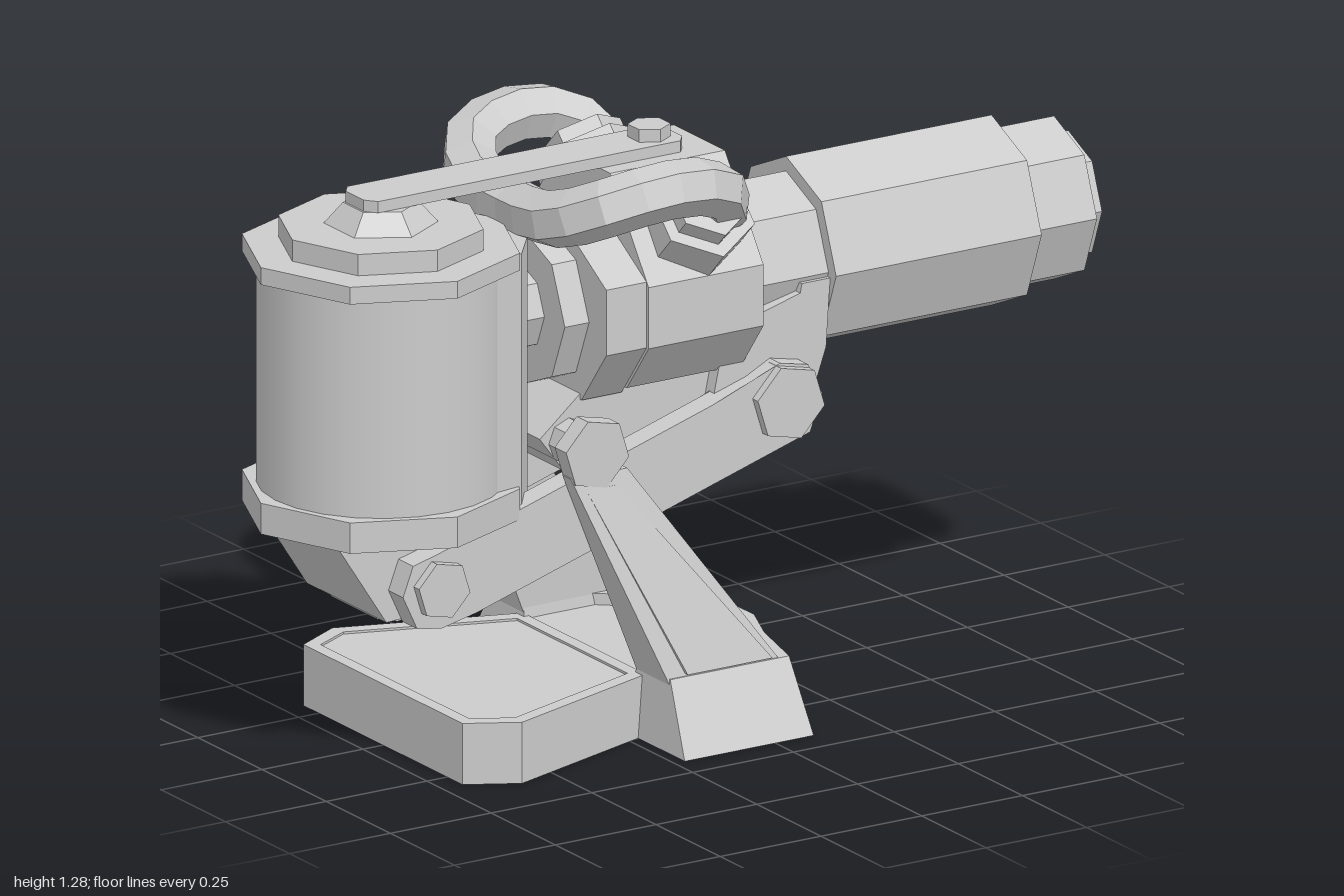
import * as THREE from 'three';

const mat = new THREE.MeshStandardMaterial({ color: 0xcccccc, flatShading: true });
const smooth = new THREE.MeshStandardMaterial({ color: 0xcccccc });
const V = (x, y, z) => new THREE.Vector3(x, y, z);

// Skin between cross-sections of equal length, with fan caps, faces turned outward
function loft(rings) {
  const tris = [];
  const n = rings[0].length;
  for (let k = 0; k < rings.length - 1; k++) {
    for (let i = 0; i < n; i++) {
      const j = (i + 1) % n, a = rings[k], b = rings[k + 1];
      tris.push([a[i], a[j], b[j]], [a[i], b[j], b[i]]);
    }
  }
  const first = rings[0], last = rings[rings.length - 1];
  for (let i = 1; i < n - 1; i++) {
    tris.push([first[0], first[i + 1], first[i]], [last[0], last[i], last[i + 1]]);
  }
  let volume = 0;
  for (const [a, b, c] of tris) volume += a.dot(b.clone().cross(c));
  const pts = tris.flatMap(([a, b, c]) => (volume < 0 ? [a, c, b] : [a, b, c]));
  const g = new THREE.BufferGeometry().setFromPoints(pts);
  g.computeVertexNormals();
  return g;
}
// Convex side profile (x, y) between two z values
const prismZ = (pts, z0, z1) => loft([z0, z1].map((z) => pts.map(([x, y]) => V(x, y, z))));
// Convex end profile (z, y) between two x values
const prismX = (pts, x0, x1) => loft([x0, x1].map((x) => pts.map(([z, y]) => V(x, y, z))));
// Rectangle on a horizontal level
const rect = (x0, x1, z0, z1, y) => [V(x0, y, z0), V(x1, y, z0), V(x1, y, z1), V(x0, y, z1)];
// Plan outline (x, z) raised from y0 by h
function plate(outline, y0, h, hole) {
  const toShape = (pts) => pts.map(([x, z]) => new THREE.Vector2(x, -z));
  const s = new THREE.Shape(toShape(outline));
  if (hole) s.holes.push(new THREE.Path(toShape(hole)));
  const g = new THREE.ExtrudeGeometry(s, { depth: h, bevelEnabled: false });
  return g.rotateX(-Math.PI / 2).translate(0, y0, 0);
}
const mirrorProfile = (half) => [...half, ...half.slice().reverse().filter(([z]) => z !== 0).map(([z, y]) => [-z, y])];

export function createModel() {
  const model = new THREE.Group();
  const add = (name, geometry, material = mat, parent = model) => {
    const m = new THREE.Mesh(geometry, material);
    m.name = name;
    parent.add(m);
    return m;
  };
  const AXIS = 0.91;

  // Barrel with hollow muzzle, turned about the x axis
  const barrelProfile = [
    [0, 0], [0.178, 0], [0.178, 0.3], [0.21, 0.3], [0.21, 0.81], [0.18, 0.81], [0.18, 0.965],
    [0.142, 0.965], [0.142, 1], [0.125, 1], [0.115, 0.75], [0, 0.73],
  ].map(([r, h]) => new THREE.Vector2(r, h));
  const barrel = add('barrel', new THREE.LatheGeometry(barrelProfile, 8).rotateZ(-Math.PI / 2));
  barrel.scale.z = 0.93;
  barrel.position.y = AXIS;

  // Breech body: tall front block, lower rear block, coupling to the drum
  add('body', prismX(mirrorProfile([[0.1, 1.2], [0.25, 0.99], [0.25, 0.855], [0.165, 0.745], [0, 0.72]]), -0.2, 0.085));
  add('bodyRear', prismX(mirrorProfile([[0.11, 1.08], [0.242, 1.0], [0.242, 0.855], [0.145, 0.73]]), -0.3, -0.2));
  for (const [r, x0, x1] of [[0.175, -0.36, -0.3], [0.095, -0.43, -0.36], [0.07, -0.5, -0.43]]) {
    add('coupling', new THREE.CylinderGeometry(r, r, x1 - x0, 8).rotateZ(-Math.PI / 2).translate((x0 + x1) / 2, AXIS, 0));
  }

  // Neck from the body down to the pivot, and open bracket under the barrel
  add('neck', prismZ([[-0.4, 0.66], [-0.34, 0.58], [-0.24, 0.58], [0.02, 0.65], [0.1, 0.76], [-0.28, 0.76]], -0.14, 0.14));
  for (const s of [-1, 1]) {
    add('bracketSide', prismZ([[0.08, 0.84], [0.3, 0.9], [0.29, 0.75], [0.23, 0.58], [0.02, 0.62]], s * 0.12, s * 0.172));
  }
  add('bracketFront', prismZ([[0.23, 0.9], [0.3, 0.9], [0.29, 0.75], [0.23, 0.58], [0.17, 0.6]], -0.172, 0.172));
  add('bracketRear', prismZ([[0.0, 0.64], [0.08, 0.62], [0.11, 0.8], [0.03, 0.78]], -0.172, 0.172));

  // Drum with flanges, cap and knob: [bottom radius, top radius, y0, y1, sides]
  const DX = -0.705;
  const drum = new THREE.Group();
  drum.name = 'drum';
  model.add(drum);
  for (const [name, rb, rt, y0, y1, n] of [
    ['lowerFlange', 0.298, 0.298, 0.52, 0.588, 8], ['upperFlange', 0.298, 0.298, 1.07, 1.108, 8],
    ['drumCap', 0.22, 0.22, 1.108, 1.155, 8], ['capKnob', 0.12, 0.08, 1.155, 1.2, 6],
  ]) {
    add(name, new THREE.CylinderGeometry(rt, rb, y1 - y0, n).translate(DX, (y0 + y1) / 2, 0), mat, drum);
  }
  add('drumShell', new THREE.CylinderGeometry(0.262, 0.262, 0.5, 24).translate(DX, 0.83, 0), smooth, drum);
  add('drumSpine', loft([0.525, 1.1].map((y) => [V(-0.57, y, -0.21), V(-0.48, y, -0.195), V(-0.412, y, -0.11),
    V(-0.412, y, 0.11), V(-0.48, y, 0.195), V(-0.57, y, 0.21)])), mat, drum);
  add('drumCradle', prismZ([[-0.92, 0.53], [-0.79, 0.33], [-0.6, 0.34], [-0.55, 0.36], [-0.55, 0.53]], -0.155, 0.155), mat, drum);
  add('cradleKeel', prismZ([[-0.8, 0.35], [-0.77, 0.315], [-0.72, 0.302], [-0.6, 0.33], [-0.58, 0.35]], -0.09, 0.09), mat, drum);

  // Strap across the top with its bolt
  add('strap', plate([[-0.75, -0.06], [0, -0.06], [0.02, -0.035], [0.02, 0.035], [0, 0.06], [-0.75, 0.06],
    [-0.77, 0.035], [-0.77, -0.035]], 1.2, 0.025));
  add('strapBolt', new THREE.CylinderGeometry(0.045, 0.045, 0.03, 6).translate(-0.04, 1.238, 0));

  // Hose looping from one port, behind the body, to the other
  const half = [V(-0.06, 1.05, 0.14), V(-0.005, 1.125, 0.225), V(-0.06, 1.195, 0.285), V(-0.19, 1.217, 0.302),
    V(-0.315, 1.19, 0.265), V(-0.367, 1.145, 0.16)];
  const path = [...half, V(-0.367, 1.13, 0), ...half.slice().reverse().map((p) => V(p.x, p.y, -p.z))];
  add('hose', new THREE.TubeGeometry(new THREE.CatmullRomCurve3(path), 22, 0.062, 6));

  // Paired parts
  for (const s of [1, -1]) {
    // Port collars on the sloping shoulders
    for (const [r, h, d] of [[0.12, 0.1, 0.01], [0.09, 0.06, 0.07]]) {
      const collar = add('portCollar', new THREE.CylinderGeometry(r, r, h, 6));
      collar.rotation.x = (s * Math.PI) / 4;
      collar.position.set(-0.05, 1.09 + d * 0.7, s * (0.18 + d * 0.7));
    }

    // Link arm with a bolt at each end
    add('linkArm', prismZ([[-0.785, 0.4], [-0.75, 0.325], [-0.69, 0.315], [-0.6, 0.335], [0.225, 0.585],
      [0.255, 0.665], [0.22, 0.735], [0.15, 0.75], [0.09, 0.72], [-0.7, 0.48], [-0.76, 0.465]], s * 0.155, s * 0.212));
    for (const [x, y, r] of [[-0.695, 0.405, 0.065], [0.165, 0.665, 0.085]]) {
      add('armBolt', new THREE.CylinderGeometry(r, r, 0.05, 6).rotateX(Math.PI / 2).rotateZ(0.3).translate(x, y, s * 0.208));
    }

    // Leg, pivot cap and flared foot, hollow beneath
    const side = (x0, x1, z0, z1, y) => rect(x0, x1, s * z0, s * z1, y);
    add('leg', loft([side(-0.21, 0.07, 0.22, 0.35, 0.14), side(-0.39, -0.25, 0.212, 0.245, 0.6)]));
    add('legPanel', loft([side(-0.17, 0.04, 0.3, 0.356, 0.16), side(-0.355, -0.28, 0.23, 0.252, 0.57)]));
    add('pivotCap', new THREE.CylinderGeometry(0.08, 0.08, 0.045, 6).rotateX(Math.PI / 2).rotateZ(0.3).translate(-0.328, 0.645, s * 0.23));
    add('foot', loft([side(-0.2, 0.07, 0.23, 0.34, 0.135), side(-0.21, 0.08, 0.22, 0.415, 0),
      side(-0.225, 0.095, 0.2, 0.43, 0), side(-0.21, 0.085, 0.22, 0.35, 0.155)]));
  }
  add('pivotAxle', new THREE.CylinderGeometry(0.05, 0.05, 0.44, 8).rotateX(Math.PI / 2).translate(-0.328, 0.645, 0));

  // Curved front of the base, hollow beneath; stations of [outer bottom, outer top, inner] as x, z
  const stations = [
    [0.09, 0.43, 0.085, 0.35, -0.04, 0.22], [0.17, 0.22, 0.125, 0.19, 0.02, 0.17], [0.25, 0.09, 0.17, 0.08, 0.06, 0.07],
  ];
  const section = ([a, b, c, d, e, f], s) => [V(a, 0, s * b), V(c, 0.155, s * d), V(e, 0.155, s * f),
    V(e, 0.11, s * f), V(c - 0.015, 0.13, s * (d - 0.01)), V(a - 0.015, 0, s * (b - 0.01))];
  add('baseFront', loft([...stations.map((p) => section(p, 1)), ...stations.slice().reverse().map((p) => section(p, -1))]));

  // Rear base slab with a thin rim under a top plate, and a floor running forward between the feet
  const sym = (pts) => [...pts, ...pts.slice().reverse().map(([x, z]) => [x, -z])];
  const rim = sym([[-0.7, 0.31], [-0.59, 0.37], [-0.2, 0.24]]);
  const inner = sym([[-0.67, 0.29], [-0.585, 0.335], [-0.23, 0.215]]);
  add('baseRim', plate(rim, 0, 0.135, inner));
  add('basePlate', plate(inner, 0.11, 0.02));
  add('baseFloor', plate(sym([[-0.235, 0.215], [-0.03, 0.22], [0.03, 0.17], [0.07, 0.07]]), 0.11, 0.02));
  return model;
}
